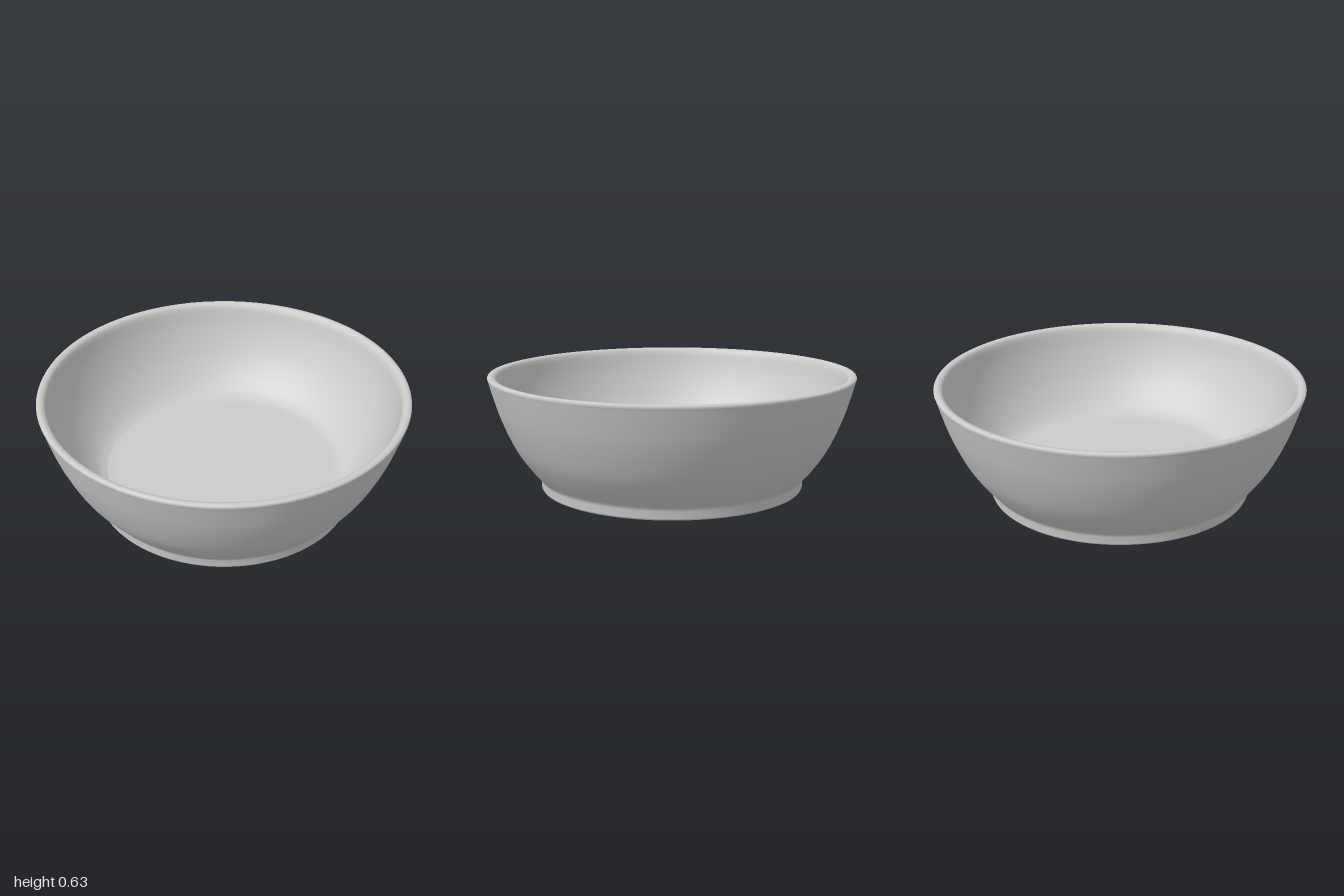
import * as THREE from 'three';

const material = new THREE.MeshStandardMaterial({ color: 0xcccccc });

// Smooth curve through a few [radius, height] points
function smooth(points, divisions) {
  const curve = new THREE.SplineCurve(points.map(([r, y]) => new THREE.Vector2(r, y)));
  return curve.getPoints(divisions);
}

const straight = (points) => points.map(([r, y]) => new THREE.Vector2(r, y));

export function createModel() {
  const group = new THREE.Group();
  group.name = 'bowl';

  const profile = [
    // Recessed underside and inner face of the foot ring
    ...straight([[0, 0.07], [0.66, 0.07], [0.68, 0.06], [0.69, 0.04], [0.692, 0.01]]),
    // Foot ring with softly rounded lower edge
    ...straight([[0.698, 0.001], [0.71, 0], [0.718, 0.004], [0.722, 0.013], [0.722, 0.05]]),
    // Outer wall, bulging evenly from the foot to the rim
    ...smooth([[0.729, 0.066], [0.785, 0.132], [0.85, 0.225], [0.9, 0.325], [0.942, 0.43], [0.973, 0.53], [0.996, 0.612]], 28),
    // Rounded rim
    ...straight([[1.0, 0.622], [0.995, 0.631], [0.98, 0.634], [0.963, 0.63], [0.952, 0.618]]),
    // Inner wall curving into the floor
    ...smooth([[0.945, 0.595], [0.922, 0.51], [0.885, 0.415], [0.835, 0.32], [0.77, 0.232], [0.705, 0.17], [0.65, 0.142]], 28),
    // Flat floor
    ...straight([[0.6, 0.136], [0, 0.135]]),
  ];

  const body = new THREE.Mesh(new THREE.LatheGeometry(profile, 128), material);
  body.name = 'bowlBody';
  group.add(body);
  return group;
}
